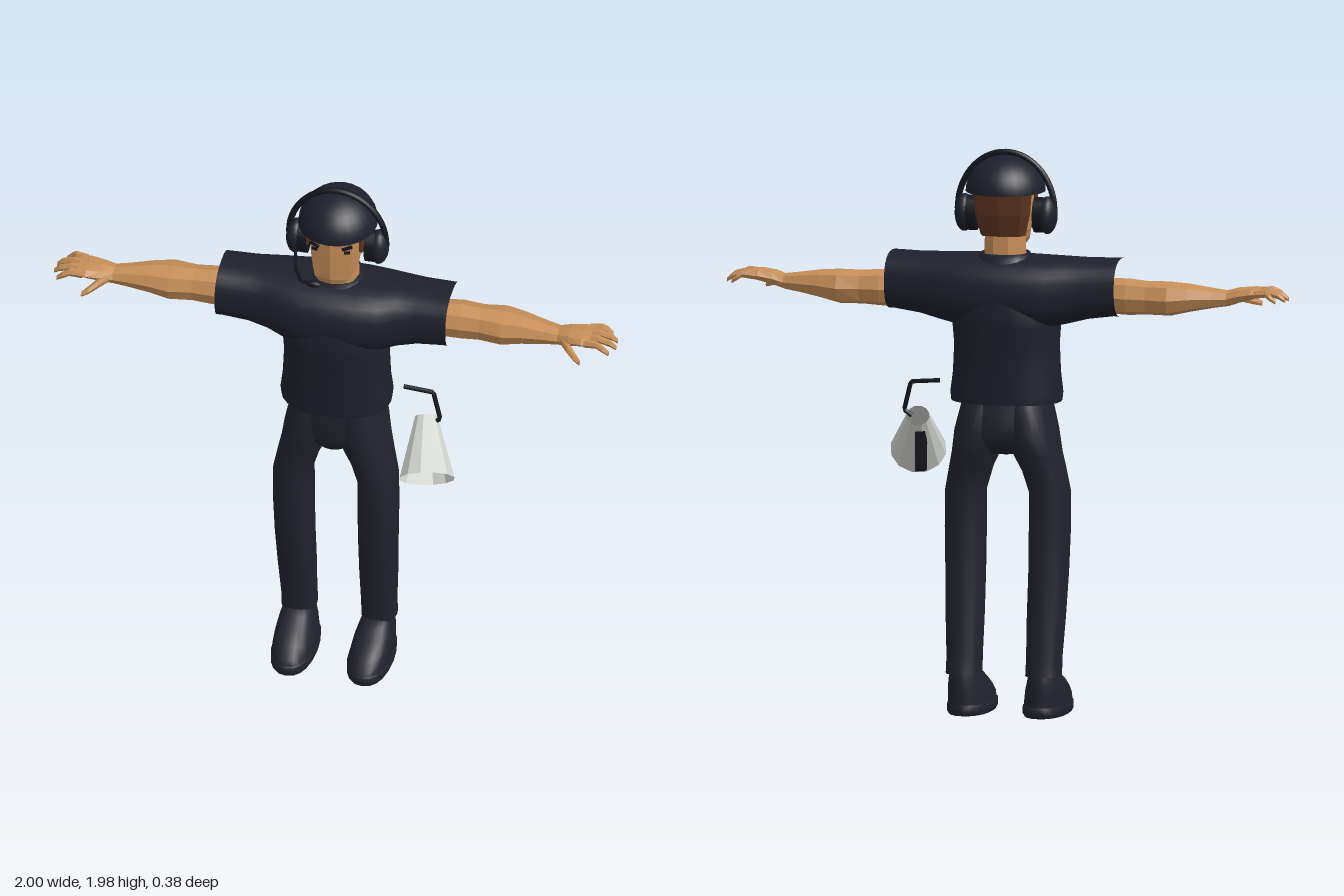
import * as THREE from 'three';

const V = (x, y, z) => new THREE.Vector3(x, y, z);

// Skin over cross-sections [position, centreA, centreB, radiusA, radiusB].
// Along y: A = x, B = z. Along x: A = z, B = y. A repeated row makes a crease.
function loft(rows, { sides = 20, n = 2.3, along = 'y' } = {}) {
  const pos = [], index = [];
  const bend = (v) => Math.sign(v) * Math.pow(Math.abs(v), 2 / n);
  for (const [p, ca, cb, ra, rb] of rows) {
    for (let i = 0; i < sides; i++) {
      const t = (i / sides) * Math.PI * 2;
      const a = ca + ra * bend(Math.cos(t)), b = cb + rb * bend(Math.sin(t));
      if (along === 'y') pos.push(a, p, b);
      else pos.push(p, b, a);
    }
  }
  for (let r = 0; r < rows.length - 1; r++) {
    for (let i = 0; i < sides; i++) {
      const j = (i + 1) % sides;
      const a = r * sides + i, b = r * sides + j, c = a + sides, d = b + sides;
      index.push(a, c, b, b, c, d);
    }
  }
  const geo = new THREE.BufferGeometry();
  geo.setAttribute('position', new THREE.Float32BufferAttribute(pos, 3));
  geo.setIndex(index);
  geo.computeVertexNormals();
  return geo;
}

// Mirror across x = 0, turning the faces back outward
function mirror(source) {
  const geo = source.clone().scale(-1, 1, 1);
  const ix = geo.index.array;
  for (let i = 0; i < ix.length; i += 3) [ix[i], ix[i + 1]] = [ix[i + 1], ix[i]];
  return geo;
}

// Split faces for a faceted look
function facet(source) {
  const geo = source.toNonIndexed();
  geo.computeVertexNormals();
  return geo;
}

const rod = (points, radius) => {
  const path = new THREE.CurvePath();
  for (let i = 0; i < points.length - 1; i++) path.add(new THREE.LineCurve3(points[i], points[i + 1]));
  return new THREE.TubeGeometry(path, (points.length - 1) * 8, radius, 6);
};

export function createModel() {
  const model = new THREE.Group();
  model.name = 'crewMember';
  const paint = (name, color, side = THREE.FrontSide) => {
    const m = new THREE.MeshStandardMaterial({ color, side });
    m.name = name;
    return m;
  };
  const shirt = paint('shirtNavy', 0x1e202c);
  const trousers = paint('trouserNavy', 0x22222e);
  const gear = paint('gearBlack', 0x15161d);
  const skin = paint('skin', 0xc68e58);
  const hair = paint('hairBrown', 0x5c3420);
  const horn = paint('hornGrey', 0xd2d5d0, THREE.DoubleSide);

  const add = (name, geo, mat, flat = false) => {
    const mesh = new THREE.Mesh(flat ? facet(geo) : geo, mat);
    mesh.name = name;
    model.add(mesh);
  };
  const pair = (name, geo, mat, flat) => {
    add(name + 'Left', geo, mat, flat);
    add(name + 'Right', mirror(geo), mat, flat);
  };

  // Shoes: sole and upper
  pair('sole', loft([
    [0, 0.135, 0.03, 0, 0], [0, 0.135, 0.03, 0.072, 0.155], [0, 0.135, 0.03, 0.072, 0.155],
    [0.012, 0.135, 0.03, 0.078, 0.165], [0.035, 0.135, 0.03, 0.078, 0.165], [0.04, 0.135, 0.03, 0.07, 0.158],
  ]), trousers);
  pair('shoe', loft([
    [0.03, 0.135, 0.03, 0.074, 0.16], [0.06, 0.136, 0.025, 0.073, 0.155], [0.09, 0.138, 0.005, 0.069, 0.138],
    [0.12, 0.14, -0.02, 0.061, 0.112], [0.145, 0.14, -0.045, 0.052, 0.085], [0.165, 0.14, -0.06, 0.047, 0.065],
    [0.165, 0.14, -0.06, 0, 0],
  ]), trousers);

  // Trousers: legs and hips
  pair('trouserLeg', loft([
    [0.145, 0.142, -0.062, 0.045, 0.055], [0.145, 0.142, -0.062, 0.062, 0.073], [0.145, 0.142, -0.062, 0.062, 0.073],
    [0.2, 0.142, -0.055, 0.061, 0.071], [0.35, 0.145, -0.035, 0.066, 0.077], [0.5, 0.148, -0.015, 0.068, 0.086],
    [0.65, 0.15, -0.006, 0.07, 0.092], [0.78, 0.15, -0.003, 0.069, 0.1], [0.86, 0.13, -0.008, 0.073, 0.11],
    [0.92, 0.109, -0.015, 0.081, 0.125], [1.0, 0.094, -0.02, 0.084, 0.14], [1.1, 0.08, -0.01, 0.074, 0.125],
  ]), trousers);
  add('hips', loft([
    [0.91, 0, -0.015, 0, 0], [0.92, 0, -0.015, 0.06, 0.085], [0.96, 0, -0.018, 0.13, 0.12],
    [1.0, 0, -0.02, 0.168, 0.135], [1.06, 0, -0.012, 0.164, 0.132], [1.13, 0, -0.005, 0.155, 0.125],
  ]), trousers);

  // Shirt: body, one open tube through both sleeves, and collar
  add('shirtBody', loft([
    [1.1, 0, -0.02, 0.14, 0.11], [1.1, 0, -0.02, 0.193, 0.143], [1.1, 0, -0.02, 0.193, 0.143],
    [1.13, 0, -0.02, 0.196, 0.147], [1.2, 0, -0.018, 0.187, 0.148], [1.3, 0, -0.018, 0.182, 0.157],
    [1.37, 0, -0.02, 0.187, 0.167], [1.42, 0, -0.02, 0.186, 0.17], [1.47, 0, -0.022, 0.165, 0.163],
  ], { sides: 28 }), shirt);
  const sleeve = [
    [0.41, -0.022, 1.51, 0.113, 0.1], [0.39, -0.023, 1.51, 0.113, 0.1], [0.3, -0.028, 1.503, 0.115, 0.105],
    [0.23, -0.03, 1.495, 0.126, 0.115], [0.17, -0.025, 1.488, 0.148, 0.122], [0.09, -0.022, 1.487, 0.163, 0.124],
  ];
  add('shirtShoulders', loft([
    ...sleeve.map(([x, ...rest]) => [-x, ...rest]), [0, -0.022, 1.487, 0.166, 0.124], ...sleeve.slice().reverse(),
  ], { sides: 28, along: 'x', n: 2.5 }), shirt);
  add('collar', loft([
    [1.57, 0, -0.035, 0.12, 0.105], [1.605, 0, -0.038, 0.092, 0.09], [1.622, 0, -0.04, 0.083, 0.082], [1.61, 0, -0.04, 0.07, 0.07],
  ]), shirt);

  // Arms with palms, fingers and thumbs
  pair('arm', loft([
    [0.36, -0.035, 1.48, 0.062, 0.062], [0.44, -0.04, 1.48, 0.066, 0.064], [0.51, -0.04, 1.479, 0.062, 0.059],
    [0.59, -0.04, 1.479, 0.075, 0.06], [0.66, -0.034, 1.484, 0.062, 0.049], [0.74, -0.025, 1.485, 0.047, 0.035],
    [0.79, -0.02, 1.485, 0.04, 0.028], [0.83, -0.013, 1.497, 0.05, 0.027], [0.88, -0.01, 1.506, 0.06, 0.022],
    [0.91, -0.01, 1.508, 0.055, 0.017], [0.91, -0.01, 1.508, 0, 0],
  ], { sides: 8, along: 'x' }), skin, true);
  [-0.055, -0.025, 0.005, 0.035].forEach((z, i) => {
    const tip = [0.97, 0.995, 0.998, 0.98][i], spread = z + (i - 1.5) * 0.009;
    pair('finger' + (i + 1), loft([
      [0.89, z, 1.506, 0.014, 0.015], [0.935, (z + spread) / 2, 1.511, 0.012, 0.013],
      [tip - 0.02, spread, 1.5, 0.011, 0.012], [tip, spread, 1.485, 0.007, 0.008], [tip, spread, 1.485, 0, 0],
    ], { sides: 6, along: 'x' }), skin, true);
  });
  pair('thumb', loft([
    [0.8, 0.01, 1.488, 0.012, 0.014], [0.835, 0.042, 1.48, 0.022, 0.017], [0.86, 0.066, 1.467, 0.018, 0.014],
    [0.885, 0.084, 1.455, 0.009, 0.009], [0.885, 0.084, 1.455, 0, 0],
  ], { sides: 6, along: 'x' }), skin, true);

  // Head
  add('neck', loft([
    [1.58, 0, -0.042, 0.076, 0.074], [1.65, 0, -0.042, 0.074, 0.074], [1.74, 0, -0.045, 0.07, 0.07],
  ], { sides: 10 }), skin, true);
  add('face', loft([
    [1.64, 0, 0.025, 0, 0], [1.642, 0, 0.025, 0.056, 0.05], [1.665, 0, 0.013, 0.074, 0.07],
    [1.7, 0, -0.005, 0.083, 0.091], [1.77, 0, -0.012, 0.092, 0.101], [1.85, 0, -0.015, 0.097, 0.105],
  ], { sides: 8, n: 3 }), skin, true);
  add('hair', loft([
    [1.685, 0, -0.075, 0, 0], [1.685, 0, -0.075, 0.08, 0.047], [1.76, 0, -0.082, 0.098, 0.062],
    [1.85, 0, -0.08, 0.105, 0.075],
  ], { sides: 8, n: 3 }), hair, true);
  pair('sideburn', new THREE.BoxGeometry(0.008, 0.075, 0.04).translate(0.094, 1.805, 0.015), hair);
  pair('eyebrow', new THREE.BoxGeometry(0.036, 0.01, 0.008).rotateZ(0.3).rotateY(0.3).translate(0.058, 1.808, 0.078), gear);
  pair('eye', new THREE.BoxGeometry(0.02, 0.01, 0.006).rotateY(0.3).translate(0.058, 1.788, 0.077), gear);

  // Cap
  add('cap', new THREE.SphereGeometry(1, 24, 10, 0, Math.PI * 2, 0, Math.PI / 2)
    .scale(0.138, 0.125, 0.15).translate(0, 1.835, -0.037), shirt);
  add('capUnderside', new THREE.CircleGeometry(1, 24).rotateX(Math.PI / 2)
    .scale(0.138, 1, 0.15).translate(0, 1.835, -0.037), shirt);

  // Headset: band, ear cups, boom and microphone
  const arch = [];
  for (let i = 0; i <= 12; i++) {
    const t = (i / 12) * Math.PI;
    arch.push(V(0.173 * Math.cos(t), 1.765 + 0.204 * Math.sin(t), -0.03));
  }
  add('headband', new THREE.TubeGeometry(new THREE.CatmullRomCurve3(arch), 32, 0.011, 8), gear);
  pair('earCup', new THREE.SphereGeometry(1, 16, 12).scale(0.034, 0.066, 0.05).translate(0.148, 1.753, -0.03), shirt);
  pair('earPad', new THREE.CylinderGeometry(1, 1, 0.035, 16).rotateZ(Math.PI / 2)
    .scale(1, 0.062, 0.047).translate(0.12, 1.753, -0.03), gear);
  add('microphoneBoom', rod([V(-0.148, 1.71, -0.02), V(-0.125, 1.695, 0.08), V(-0.09, 1.692, 0.145), V(-0.045, 1.69, 0.15)], 0.006), gear);
  add('microphone', new THREE.SphereGeometry(1, 12, 8).scale(0.026, 0.012, 0.013).translate(-0.045, 1.69, 0.15), gear);

  // Megaphone: open horn, grip and carrying rod
  const narrow = V(0.312, 1.035, -0.04), mouth = V(0.352, 0.893, 0.125);
  const axis = narrow.clone().sub(mouth);
  const cone = new THREE.CylinderGeometry(0.04, 0.098, axis.length(), 12, 1, true);
  cone.applyQuaternion(new THREE.Quaternion().setFromUnitVectors(V(0, 1, 0), axis.clone().normalize()));
  const middle = narrow.clone().add(mouth).multiplyScalar(0.5);
  add('megaphoneHorn', cone.translate(middle.x, middle.y, middle.z), horn, true);
  add('megaphoneGrip', new THREE.BoxGeometry(0.032, 0.14, 0.045).translate(0.305, 0.91, -0.025), gear);
  add('megaphoneTrigger', new THREE.BoxGeometry(0.03, 0.022, 0.06).translate(0.305, 0.942, 0.015), gear);
  add('megaphoneRod', rod([V(0.235, 1.16, -0.03), V(0.34, 1.152, -0.03), V(0.367, 1.05, -0.018), V(0.34, 1.03, -0.015)], 0.008), gear);

  return model;
}
